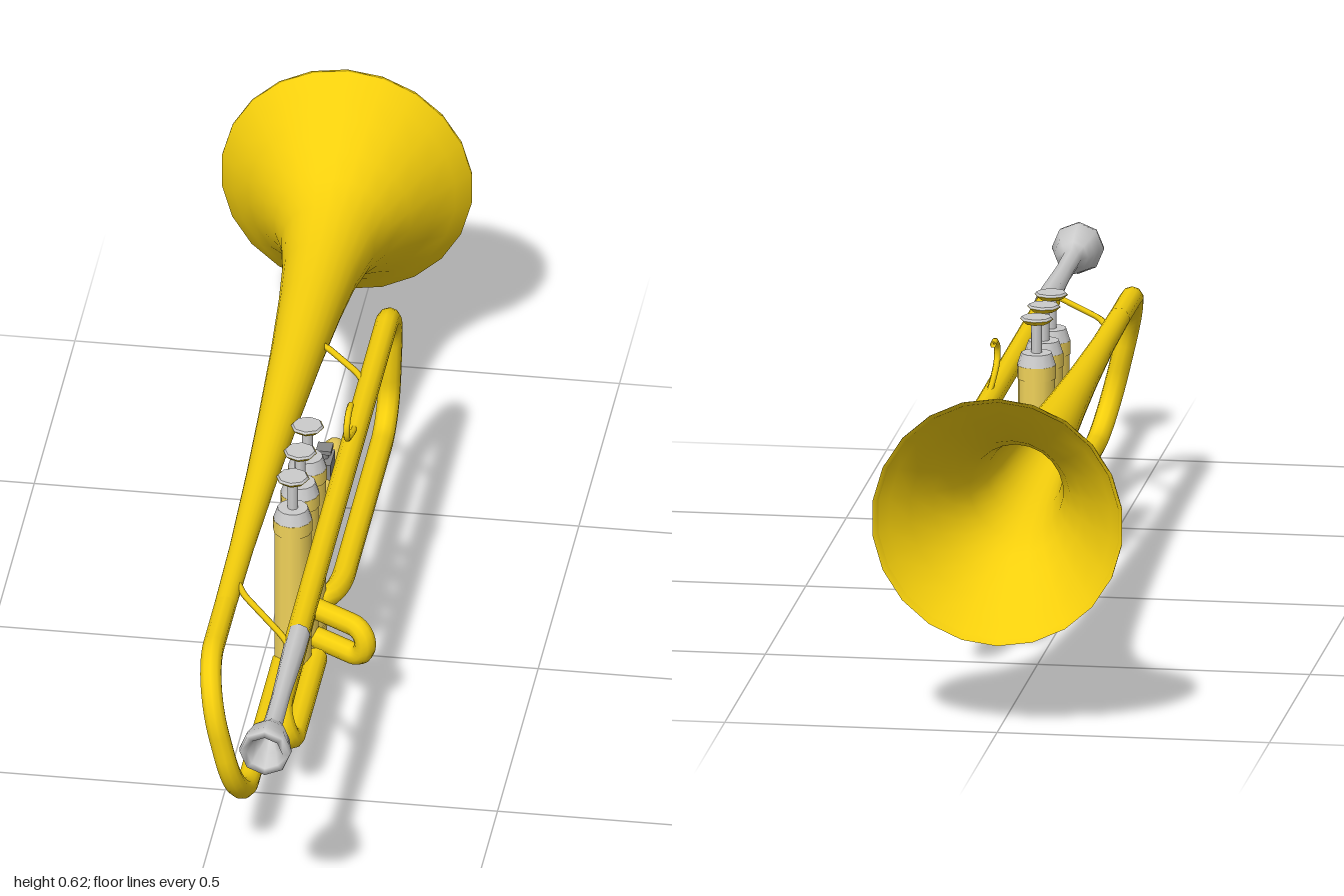
import * as THREE from 'three';

const mat = (color) => new THREE.MeshStandardMaterial({ color, side: THREE.DoubleSide });
const V = (p) => new THREE.Vector3(...p);

// Polyline whose inner corners are rounded; bend is the distance cut from each corner
function roundedPath(points, bend) {
  const pts = points.map(V);
  const path = new THREE.CurvePath();
  let from = pts[0];
  for (let i = 1; i < pts.length - 1; i++) {
    const p = pts[i];
    const cut = (q) => p.clone().lerp(q, Math.min(0.48, bend / p.distanceTo(q)));
    const a = cut(pts[i - 1]), b = cut(pts[i + 1]);
    path.add(new THREE.LineCurve3(from, a));
    // circular-looking bend
    const k = 0.56;
    path.add(new THREE.CubicBezierCurve3(a, a.clone().lerp(p, k), b.clone().lerp(p, k), b));
    from = b;
  }
  path.add(new THREE.LineCurve3(from, pts[pts.length - 1]));
  return path;
}

export function createModel() {
  const group = new THREE.Group();
  const gold = mat(0xf5cf0c), pale = mat(0xf0d25a), silver = mat(0xcccccc), steel = mat(0x888888);

  const add = (name, geometry, material, x = 0, y = 0, z = 0, parent = group) => {
    const mesh = new THREE.Mesh(geometry, material);
    mesh.name = name;
    mesh.position.set(x, y, z);
    parent.add(mesh);
    return mesh;
  };
  const pipe = (name, points, bend, radius, material = gold, segments = 64, sides = 10) =>
    add(name, new THREE.TubeGeometry(roundedPath(points, bend), segments, radius, sides), material);
  // Lathe around the z axis from [radius, z] pairs
  const latheZ = (pairs, sides) =>
    new THREE.LatheGeometry(pairs.map(([r, z]) => new THREE.Vector2(r, z)), sides).rotateX(Math.PI / 2);

  // Flared bell, narrowing into its tube
  add('bell', latheZ([
    [0.222, -0.985], [0.231, -1], [0.231, -0.992], [0.205, -0.965], [0.172, -0.925], [0.137, -0.87],
    [0.108, -0.82], [0.086, -0.76], [0.069, -0.66], [0.059, -0.55], [0.048, -0.38],
    [0.037, -0.15], [0.029, 0.05], [0.022, 0.3], [0.02, 0.5],
  ], 22), gold, 0, 0.395, 0);

  // Bell tube turning down and forward into the first valve
  pipe('bellBow', [
    [0, 0.395, 0.48], [0, 0.395, 0.76], [0.065, 0.118, 0.76], [0.065, 0.118, 0.23],
  ], 0.12, 0.02, gold, 80);

  // Mouthpipe, tuning bow and return to the third valve
  pipe('mouthpipe', [
    [0.145, 0.395, 0.62], [0.145, 0.395, -0.588], [0.137, 0.143, -0.588],
    [0.137, 0.143, 0.03], [0.085, 0.143, 0.05],
  ], 0.085, 0.021, gold, 140);

  // Mouthpiece with hollow cup
  add('mouthpiece', latheZ([
    [0.021, 0.58], [0.021, 0.64], [0.017, 0.8], [0.018, 0.905], [0.028, 0.925], [0.038, 0.945],
    [0.042, 0.965], [0.048, 0.985], [0.046, 1], [0.033, 1], [0.022, 0.965], [0.01, 0.94], [0, 0.935],
  ], 8), silver, 0.147, 0.397, 0);

  // Three valves
  const valveX = 0.083;
  [0.225, 0.135, 0.045].forEach((z, i) => {
    const valve = new THREE.Group();
    valve.name = 'valve' + (i + 1);
    valve.position.set(valveX, 0, z);
    group.add(valve);
    add('casing', new THREE.CylinderGeometry(0.034, 0.034, 0.4, 12), pale, 0, 0.212, 0, valve);
    add('bottomCap', new THREE.CylinderGeometry(0.036, 0.033, 0.09, 12), pale, 0, 0.047, 0, valve);
    add('collar', new THREE.CylinderGeometry(0.036, 0.036, 0.025, 12), pale, 0, 0.41, 0, valve);
    add('topCap', new THREE.CylinderGeometry(0.028, 0.036, 0.024, 12), silver, 0, 0.433, 0, valve);
    add('stem', new THREE.CylinderGeometry(0.01, 0.01, 0.07, 8), silver, 0, 0.472, 0, valve);
    add('button', new THREE.CylinderGeometry(0.031, 0.022, 0.008, 8), gold, 0, 0.504, 0, valve);
    add('buttonTop', new THREE.CylinderGeometry(0.027, 0.03, 0.004, 8), silver, 0, 0.51, 0, valve);
  });

  // Short tubes linking neighbouring valves
  for (const z of [0.09, 0.18]) {
    for (const y of [0.055, 0.26]) {
      add('valveLink', new THREE.CylinderGeometry(0.011, 0.011, 0.06, 8).rotateX(Math.PI / 2),
        gold, valveX, y, z);
    }
  }

  // First slide, toward the player
  pipe('firstSlide', [
    [0.095, 0.181, 0.16], [0.1, 0.181, 0.505], [0.122, 0.113, 0.505], [0.122, 0.113, 0.2],
  ], 0.035, 0.021, gold, 64);

  // Second slide, out to the side
  pipe('secondSlide', [
    [0.09, 0.18, 0.125], [0.212, 0.18, 0.2], [0.212, 0.119, 0.2], [0.09, 0.119, 0.125],
  ], 0.03, 0.02, gold, 40);

  // Third slide, toward the bell
  pipe('thirdSlide', [
    [0.07, 0.197, 0.03], [0.065, 0.186, -0.43], [0.065, 0.112, -0.43], [0.07, 0.112, 0.03],
  ], 0.038, 0.021, pale, 72);

  // Finger ring on the third slide
  add('fingerRing', new THREE.TorusGeometry(0.04, 0.005, 6, 16).rotateY(Math.PI / 2), gold, 0.065, 0.262, -0.08);

  // Water key block with its small knob
  add('waterKey', new THREE.BoxGeometry(0.03, 0.034, 0.056), steel, 0.065, 0.222, -0.287);
  add('waterKeyPin', new THREE.CylinderGeometry(0.008, 0.008, 0.02, 8), steel, 0.065, 0.246, -0.287);
  add('waterKeyKnob', new THREE.BoxGeometry(0.028, 0.008, 0.032), steel, 0.065, 0.257, -0.287);

  // Hook for the little finger
  const hook = new THREE.CatmullRomCurve3([
    [0.145, 0.41, -0.12], [0.145, 0.43, -0.055], [0.145, 0.447, -0.025],
    [0.145, 0.472, -0.024], [0.145, 0.488, -0.05], [0.145, 0.487, -0.075],
  ].map(V));
  add('fingerHook', new THREE.TubeGeometry(hook, 20, 0.006, 6), gold);

  // Slanted braces between bell tube and mouthpipe
  const braces = [[[0.01, 0.4, 0.42], [0.03, 0.402, 0.47], [0.12, 0.402, 0.6], [0.142, 0.4, 0.64]],
    [[0.03, 0.4, -0.42], [0.05, 0.402, -0.405], [0.122, 0.402, -0.32], [0.142, 0.4, -0.28]]];
  for (const points of braces) pipe('brace', points, 0.015, 0.006, gold, 24, 6);

  return group;
}
